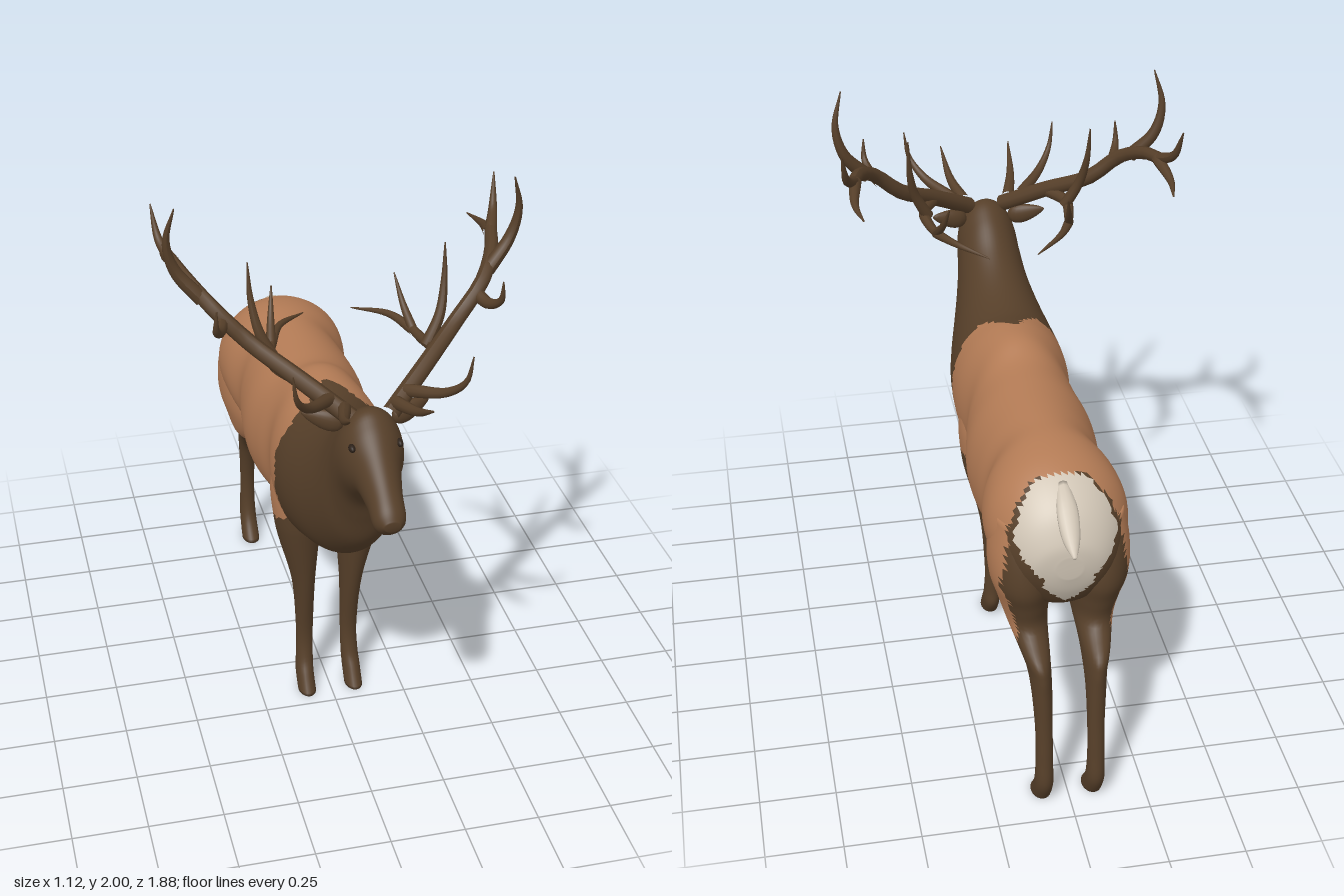
import * as THREE from 'three';

const coat = (name, color) => {
  const m = new THREE.MeshStandardMaterial({ color });
  m.name = name;
  return m;
};
const coats = [coat('darkBrown', 0x563f29), coat('tan', 0xb37b55), coat('cream', 0xd0c5b5)];
const DARK = 0, TAN = 1, CREAM = 2;
const eyeBlack = coat('eyeBlack', 0x2c2119);

// Piecewise-linear lookup in [key, value] pairs with rising keys
function lookup(table, k) {
  if (k <= table[0][0]) return table[0][1];
  for (let i = 1; i < table.length; i++) {
    const [a, va] = table[i - 1], [b, vb] = table[i];
    if (k <= b) return va + (vb - va) * (k - a) / (b - a);
  }
  return table[table.length - 1][1];
}

// Lower edge of the tan saddle along z
const saddleEdge = [[-0.78, 0.58], [-0.7, 0.585], [-0.63, 0.6], [-0.52, 0.67], [-0.4, 0.635],
  [-0.19, 0.64], [-0.13, 0.7], [0.02, 0.74], [0.14, 0.74], [0.2, 0.77]];

// Coat colour at a point of the hide
function coatAt(p) {
  const ax = Math.abs(p.x);
  const wobble = 0.006 * Math.sin(43 * p.y + 25 * ax) + 0.004 * Math.sin(91 * p.y);
  if (p.z < -0.705 - 0.55 * (1.13 - p.y) + wobble && p.y > 0.75) return CREAM;
  if (ax < 0.08 && p.y > 0.73 + ax && p.y < 1 && p.z < -0.7) return CREAM;
  const rear = -0.7 - 0.08 * THREE.MathUtils.clamp((1.14 - p.y) / 0.2, 0, 1);
  let front = 0.195;
  if (p.y > 1) front -= 0.1 * Math.max(0, 1 - ax / 0.1);
  const onTop = p.z < front + wobble && p.z > rear + wobble;
  const outside = p.y > 0.78 || ax > 0.09;
  return onTop && outside && p.y > lookup(saddleEdge, p.z) + wobble ? TAN : DARK;
}

// Smooth interpolation of section rows, u from 0 to 1
function rowAt(rows, u) {
  const f = u * (rows.length - 1), i = Math.min(Math.floor(f), rows.length - 2), t = f - i;
  const at = k => rows[THREE.MathUtils.clamp(k, 0, rows.length - 1)];
  return rows[0].map((_, c) => {
    const [a, b, d, e] = [at(i - 1)[c], at(i)[c], at(i + 1)[c], at(i + 2)[c]];
    return b + 0.5 * t * (d - a + t * (2 * a - 5 * b + 4 * d - e + t * (3 * (b - d) + e - a)));
  });
}

// Capped skin through section rows, with faces grouped by colour
function loft(name, rows, ring, steps, sides, flip, pick) {
  const pts = [];
  for (let i = 0; i <= steps; i++) {
    const row = rowAt(rows, i / steps);
    for (let j = 0; j < sides; j++) pts.push(ring(row, j / sides * Math.PI * 2));
  }
  const centre = i => pts.slice(i * sides, (i + 1) * sides)
    .reduce((s, p) => s.add(p), new THREE.Vector3()).divideScalar(sides);
  const first = pts.length;
  pts.push(centre(0), centre(steps));
  const faces = [[], [], []];
  const tri = (a, b, c) => {
    const mid = pts[a].clone().add(pts[b]).add(pts[c]).divideScalar(3);
    faces[pick(mid)].push(...(flip ? [a, c, b] : [a, b, c]));
  };
  for (let j = 0; j < sides; j++) {
    const k = (j + 1) % sides;
    tri(first, k, j);
    tri(first + 1, steps * sides + j, steps * sides + k);
    for (let i = 0; i < steps; i++) {
      const p = i * sides, q = p + sides;
      tri(p + j, p + k, q + j);
      tri(p + k, q + k, q + j);
    }
  }
  const g = new THREE.BufferGeometry().setFromPoints(pts);
  g.setIndex(faces.flat());
  let start = 0;
  faces.forEach((f, m) => {
    if (f.length) g.addGroup(start, f.length, m);
    start += f.length;
  });
  g.computeVertexNormals();
  const mesh = new THREE.Mesh(g, coats);
  mesh.name = name;
  return mesh;
}

// Body sections: top z, top y, bottom z, bottom y, half width
const bodyRows = [
  [0.94, 1.185, 0.935, 1.15, 0.025], [0.915, 1.22, 0.89, 1.115, 0.05], [0.85, 1.275, 0.83, 1.135, 0.056],
  [0.78, 1.335, 0.75, 1.15, 0.072], [0.72, 1.39, 0.69, 1.12, 0.096], [0.66, 1.42, 0.635, 1.06, 0.108],
  [0.58, 1.38, 0.605, 0.98, 0.115], [0.49, 1.31, 0.57, 0.88, 0.132], [0.4, 1.26, 0.5, 0.8, 0.155],
  [0.3, 1.225, 0.41, 0.735, 0.18], [0.2, 1.21, 0.3, 0.69, 0.198], [0.1, 1.22, 0.16, 0.635, 0.2],
  [0, 1.22, 0, 0.625, 0.18], [-0.1, 1.187, -0.1, 0.605, 0.2], [-0.22, 1.18, -0.22, 0.592, 0.218],
  [-0.35, 1.18, -0.35, 0.6, 0.207], [-0.45, 1.18, -0.45, 0.635, 0.193], [-0.55, 1.178, -0.55, 0.68, 0.222],
  [-0.65, 1.16, -0.65, 0.7, 0.228], [-0.74, 1.12, -0.73, 0.7, 0.203], [-0.81, 1.06, -0.79, 0.71, 0.165],
  [-0.853, 0.98, -0.835, 0.78, 0.11], [-0.862, 0.93, -0.858, 0.85, 0.04]];
const bodyRing = ([tz, ty, bz, by, hw], a) => {
  const t = (1 - Math.cos(a)) / 2;
  return new THREE.Vector3(hw * Math.sin(a), ty + (by - ty) * t, tz + (bz - tz) * t);
};

// Leg sections: y, front z, back z, inner x, outer x
const frontLegRows = [
  [0.95, 0.18, 0.03, 0.06, 0.18], [0.83, 0.2, 0.01, 0.05, 0.195], [0.72, 0.205, 0.015, 0.03, 0.188],
  [0.63, 0.195, 0.02, 0.03, 0.172], [0.44, 0.165, 0.05, 0.045, 0.125], [0.23, 0.128, 0.07, 0.05, 0.11],
  [0.12, 0.138, 0.072, 0.052, 0.112], [0.06, 0.17, 0.07, 0.054, 0.116], [0, 0.21, 0.11, 0.054, 0.116]];
const hindLegRows = [
  [1.0, -0.55, -0.78, 0.05, 0.205], [0.88, -0.53, -0.82, 0.03, 0.225], [0.78, -0.525, -0.835, 0.025, 0.222],
  [0.7, -0.53, -0.815, 0.03, 0.2], [0.62, -0.575, -0.81, 0.04, 0.175], [0.55, -0.66, -0.9, 0.05, 0.145],
  [0.5, -0.74, -0.918, 0.053, 0.128], [0.43, -0.82, -0.92, 0.055, 0.12], [0.3, -0.865, -0.925, 0.057, 0.113],
  [0.18, -0.877, -0.935, 0.057, 0.113], [0.08, -0.86, -0.94, 0.054, 0.116], [0, -0.8, -0.9, 0.052, 0.118]];
const legRing = s => ([y, zf, zb, xi, xo], a) => new THREE.Vector3(
  s * ((xi + xo) / 2 + (xo - xi) / 2 * Math.cos(a)), Math.max(y, 0), (zf + zb) / 2 + (zf - zb) / 2 * Math.sin(a));

// Tube along points whose radius runs from r0 to r1
function taperedTube(name, points, r0, r1, s) {
  const path = new THREE.CatmullRomCurve3(points.map(([x, y, z]) => new THREE.Vector3(s * x, y, z)));
  const n = 16, sides = 10;
  const g = new THREE.TubeGeometry(path, n, 1, sides);
  const v = new THREE.Vector3(), pos = g.attributes.position;
  for (let i = 0; i < pos.count; i++) {
    const u = Math.floor(i / (sides + 1)) / n, c = path.getPointAt(u);
    v.fromBufferAttribute(pos, i).sub(c).multiplyScalar(r0 + (r1 - r0) * u ** 1.4).add(c);
    pos.setXYZ(i, v.x, v.y, v.z);
  }
  g.computeVertexNormals();
  const mesh = new THREE.Mesh(g, coats[DARK]);
  mesh.name = name;
  return mesh;
}

// Antler parts: name, start radius, end radius, path
const antlerParts = [
  ['beam', 0.029, 0.02, [[0.06, 1.4, 0.67], [0.2, 1.495, 0.56], [0.33, 1.58, 0.45], [0.42, 1.67, 0.4], [0.48, 1.725, 0.3], [0.515, 1.75, 0.18]]],
  ['upperBackTine', 0.02, 0.002, [[0.51, 1.745, 0.2], [0.54, 1.79, 0.12], [0.555, 1.89, 0.07]]],
  ['lowerBackTine', 0.02, 0.002, [[0.505, 1.745, 0.2], [0.52, 1.72, 0.08], [0.503, 1.71, -0.03]]],
  ['crownTine', 0.024, 0.002, [[0.45, 1.69, 0.36], [0.525, 1.78, 0.335], [0.55, 1.88, 0.34], [0.525, 1.995, 0.36]]],
  ['forwardTine', 0.022, 0.002, [[0.4, 1.64, 0.41], [0.42, 1.635, 0.48], [0.44, 1.67, 0.535], [0.44, 1.74, 0.55]]],
  ['innerBranch', 0.021, 0.014, [[0.2, 1.49, 0.56], [0.25, 1.49, 0.46], [0.24, 1.48, 0.36], [0.225, 1.485, 0.29]]],
  ['innerUpTine', 0.02, 0.002, [[0.24, 1.49, 0.43], [0.285, 1.58, 0.41], [0.305, 1.68, 0.38], [0.31, 1.8, 0.36]]],
  ['innerShortTine', 0.016, 0.002, [[0.23, 1.48, 0.31], [0.215, 1.54, 0.24], [0.2, 1.625, 0.18]]],
  ['innerLongTine', 0.016, 0.002, [[0.23, 1.48, 0.31], [0.18, 1.49, 0.2], [0.08, 1.475, 0.1]]],
  ['browTine', 0.021, 0.002, [[0.08, 1.43, 0.66], [0.11, 1.46, 0.78], [0.125, 1.53, 0.91]]],
  ['secondTine', 0.021, 0.002, [[0.12, 1.45, 0.63], [0.21, 1.49, 0.74], [0.255, 1.55, 0.795], [0.27, 1.64, 0.81]]]];

export function createModel() {
  const model = new THREE.Group();
  model.name = 'stag';
  model.add(loft('body', bodyRows, bodyRing, 132, 64, false, coatAt));

  // Tail: top z, top y, bottom z, bottom y, half width
  const tailRows = [[-0.73, 1.13, -0.75, 1.06, 0.025], [-0.8, 1.095, -0.82, 1.03, 0.034],
    [-0.87, 1.035, -0.87, 0.985, 0.028], [-0.925, 0.98, -0.925, 0.97, 0.006]];
  model.add(loft('tail', tailRows, bodyRing, 12, 14, false, () => CREAM));

  for (const s of [1, -1]) {
    const side = s > 0 ? 'left' : 'right';
    model.add(loft(side + 'FrontLeg', frontLegRows, legRing(s), 40, 24, s < 0, coatAt));
    model.add(loft(side + 'HindLeg', hindLegRows, legRing(s), 56, 32, s < 0, coatAt));

    const antler = new THREE.Group();
    antler.name = side + 'Antler';
    for (const [name, r0, r1, path] of antlerParts) antler.add(taperedTube(name, path, r0, r1, s));
    model.add(antler);

    // Leaf-shaped ear: a flattened ball pinched towards its tip
    const earShape = new THREE.SphereGeometry(1, 18, 12);
    const p = earShape.attributes.position;
    for (let i = 0; i < p.count; i++) {
      const pinch = 1 - 0.45 * p.getX(i) * s;
      p.setXYZ(i, p.getX(i) * 0.068, p.getY(i) * 0.032 * pinch, p.getZ(i) * 0.02 * pinch);
    }
    earShape.computeVertexNormals();
    const ear = new THREE.Mesh(earShape, coats[DARK]);
    ear.name = side + 'Ear';
    ear.position.set(s * 0.138, 1.38, 0.62);
    ear.rotation.set(0, s * 0.3, s * 0.28);
    model.add(ear);

    const eye = new THREE.Mesh(new THREE.SphereGeometry(0.015, 14, 10), eyeBlack);
    eye.name = side + 'Eye';
    eye.scale.set(0.7, 0.8, 1.2);
    eye.position.set(s * 0.074, 1.33, 0.73);
    model.add(eye);
  }
  return model;
}
